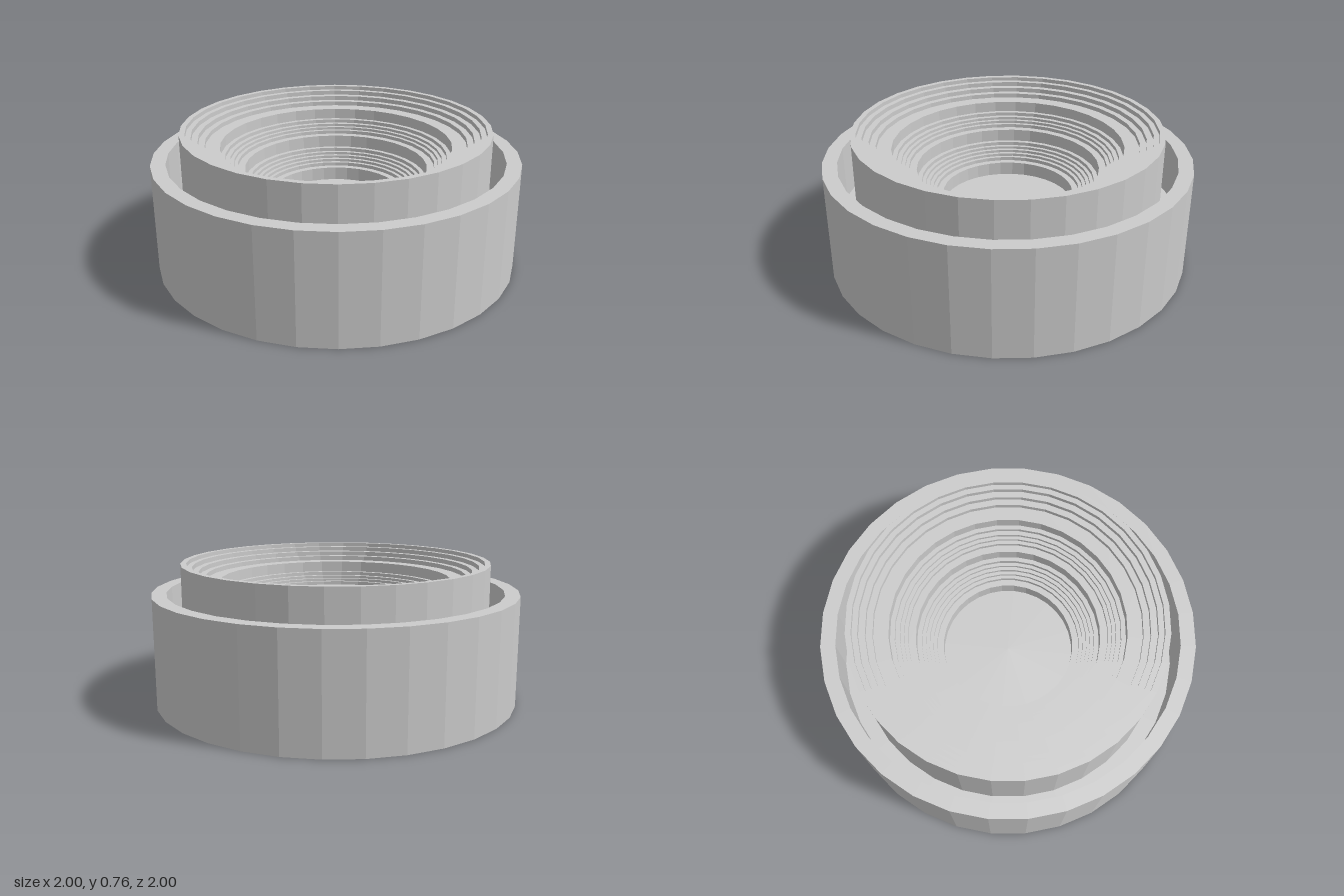
import * as THREE from 'three';

const SIDES = 32;
const FLOOR = 0.3;
const material = new THREE.MeshStandardMaterial({ color: 0xcccccc, flatShading: true });

// Faceted solid of revolution; the profile runs up the outside, then inward
function turned(name, profile) {
  const points = profile.map(([r, y]) => new THREE.Vector2(r, y));
  const mesh = new THREE.Mesh(new THREE.LatheGeometry(points, SIDES).toNonIndexed(), material);
  mesh.geometry.computeVertexNormals();
  mesh.name = name;
  return mesh;
}

// Staircase profile: each step is [inner radius, tread height], descending inward
function stairs(outerRadius, steps, endHeight) {
  const profile = [];
  let r = outerRadius;
  for (const [inner, y] of steps) {
    profile.push([r, y], [inner, y]);
    r = inner;
  }
  profile.push([r, endHeight]);
  return profile;
}

export function createModel() {
  const group = new THREE.Group();
  group.name = 'steppedLens';

  // Outer cup with solid base and raised wall
  group.add(turned('housing', [
    [0, 0], [1, 0], [1, 0.6], [0.92, 0.6], [0.92, FLOOR], [0, FLOOR],
  ]));

  // Inner barrel, stepping down in three bands to the central disc
  const steps = [
    [0.81, 0.757], [0.78, 0.735], [0.745, 0.71], [0.71, 0.685], [0.63, 0.66],
    [0.605, 0.6], [0.58, 0.58], [0.56, 0.565], [0.54, 0.55], [0.5, 0.53],
    [0.475, 0.46], [0.455, 0.44], [0.435, 0.425], [0.415, 0.41], [0.395, 0.395], [0.36, 0.375],
  ];
  group.add(turned('barrel', [[0.84, FLOOR], ...stairs(0.84, steps, FLOOR)]));

  return group;
}
